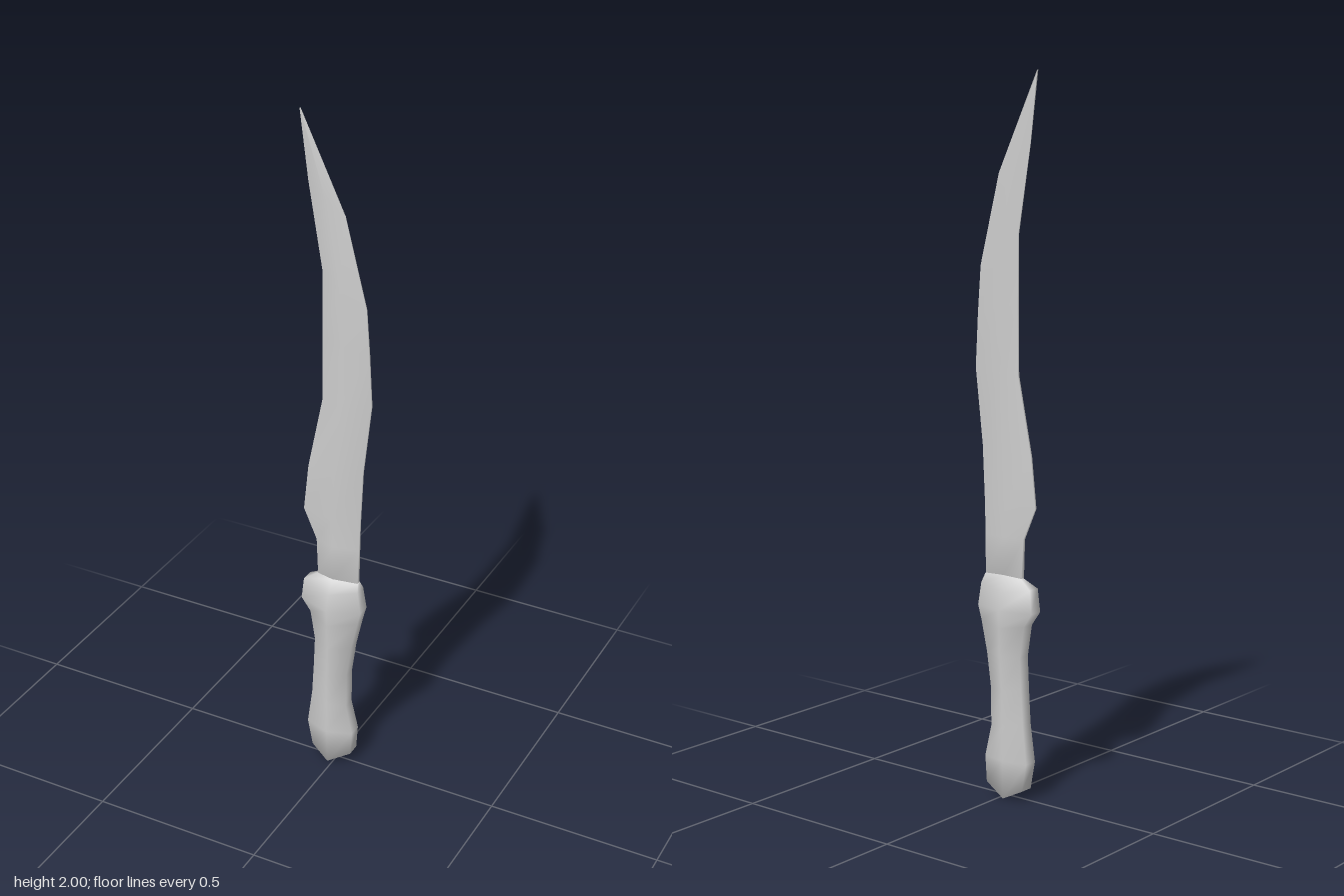
import * as THREE from 'three';

// Each section: back edge (x, y), cutting edge (x, y), ridge (x, y), ridge half depth, edge half thickness
const gripSections = [
  [-0.075, 0.03, 0.05, 0.035, -0.015, 0.0, 0.035, 0.02],
  [-0.09, 0.11, 0.055, 0.11, -0.015, 0.11, 0.039, 0.02],
  [-0.076, 0.22, 0.035, 0.2, -0.015, 0.21, 0.04, 0.018],
  [-0.07, 0.32, 0.036, 0.31, -0.015, 0.31, 0.041, 0.018],
  [-0.066, 0.41, 0.05, 0.41, -0.01, 0.41, 0.044, 0.018],
  [-0.08, 0.5, 0.07, 0.5, -0.01, 0.49, 0.047, 0.018],
  [-0.107, 0.54, 0.08, 0.54, -0.01, 0.54, 0.049, 0.02],
  [-0.1, 0.605, 0.07, 0.605, -0.01, 0.59, 0.038, 0.018],
  [-0.06, 0.63, 0.065, 0.63, -0.005, 0.635, 0.02, 0.006],
];
const bladeSections = [
  [-0.06, 0.63, 0.065, 0.63, -0.005, 0.635, 0.02, 0.006],
  [-0.065, 0.74, 0.068, 0.74, -0.005, 0.74, 0.019, 0.004],
  [-0.105, 0.83, 0.07, 0.82, -0.008, 0.83, 0.019, 0.003],
  [-0.09, 0.97, 0.078, 0.99, 0.0, 0.98, 0.018, 0.003],
  [-0.045, 1.19, 0.102, 1.2, 0.02, 1.19, 0.018, 0.003],
  [-0.044, 1.38, 0.094, 1.35, 0.02, 1.37, 0.016, 0.003],
  [-0.045, 1.57, 0.085, 1.48, 0.012, 1.53, 0.013, 0.002],
  [-0.085, 1.81, 0.022, 1.73, -0.03, 1.77, 0.007, 0.001],
  [-0.107, 2.0, -0.106, 2.0, -0.1065, 2.0, 0.0005, 0.0003],
];

// Skins hexagonal sections into a smooth, closed body
function loft(sections, edgeZ) {
  const pos = [];
  const index = [];
  for (const [bx, by, cx, cy, rx, ry, depth, edge] of sections) {
    pos.push(
      bx, by, edgeZ + edge,
      rx, ry, depth,
      cx, cy, edgeZ + edge,
      cx, cy, edgeZ - edge,
      rx, ry, -depth,
      bx, by, edgeZ - edge,
    );
  }
  for (let s = 0; s < sections.length - 1; s++) {
    for (let i = 0; i < 6; i++) {
      const a = s * 6 + i;
      const b = s * 6 + ((i + 1) % 6);
      index.push(a, b, b + 6, a, b + 6, a + 6);
    }
  }
  // End caps, split along the ridge
  const t = (sections.length - 1) * 6;
  for (const [a, b, c] of [[0, 5, 4], [0, 4, 1], [1, 4, 3], [1, 3, 2]]) {
    index.push(a, b, c, t + a, t + c, t + b);
  }
  const geometry = new THREE.BufferGeometry();
  geometry.setAttribute('position', new THREE.Float32BufferAttribute(pos, 3));
  geometry.setIndex(index);
  geometry.computeVertexNormals();
  return geometry;
}

export function createModel() {
  const group = new THREE.Group();
  group.name = 'curvedDagger';
  const material = new THREE.MeshStandardMaterial({ color: 0xcccccc });

  // Grip with pommel and swollen guard
  const grip = new THREE.Mesh(loft(gripSections, -0.006), material);
  grip.name = 'gripAndGuard';

  // Curved blade with a central ridge
  const blade = new THREE.Mesh(loft(bladeSections, -0.004), material);
  blade.name = 'blade';

  group.add(grip, blade);
  return group;
}
